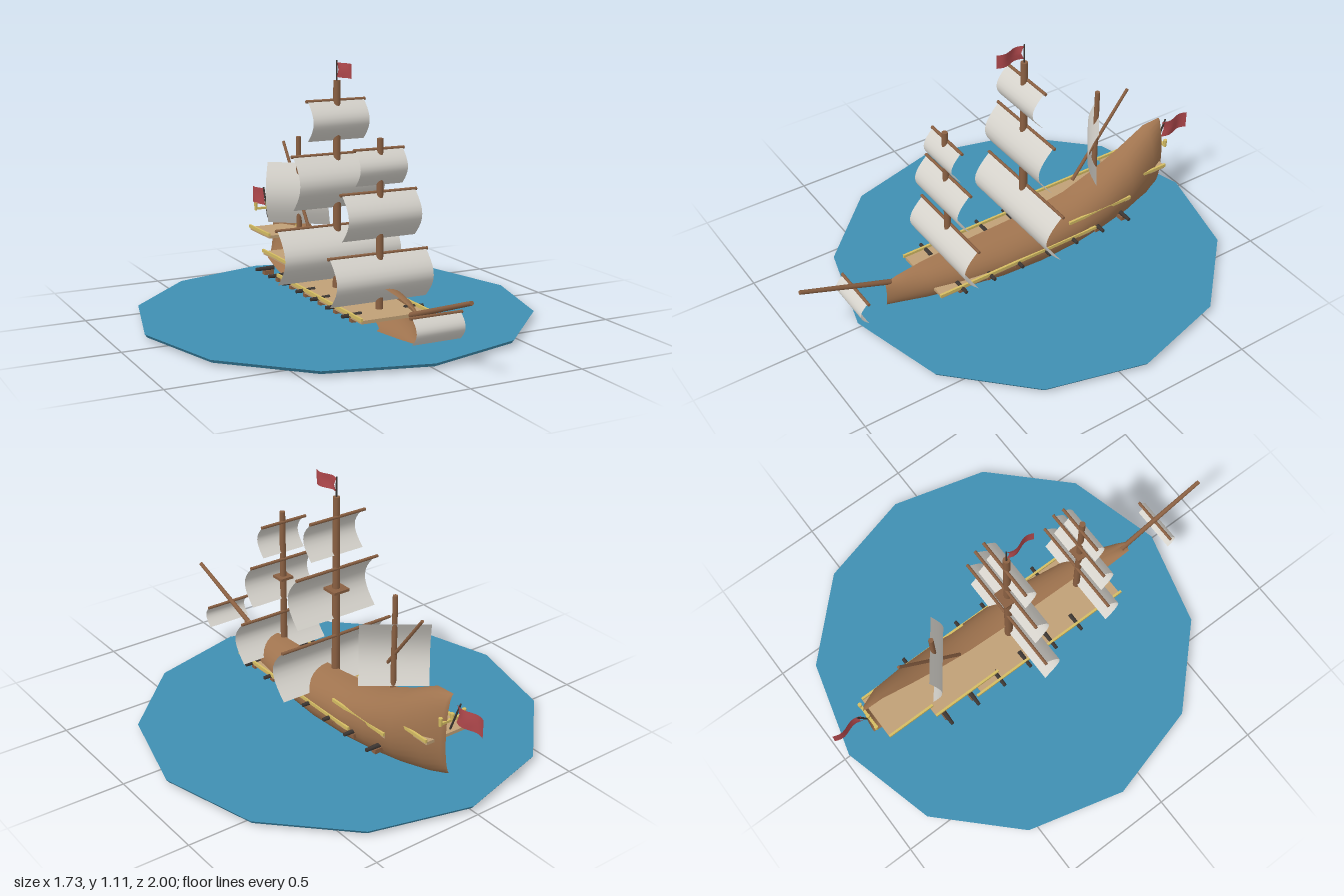
import * as THREE from 'three';

const mat = (name, color, double = false) => {
  const m = new THREE.MeshStandardMaterial({ color });
  m.name = name;
  if (double) m.side = THREE.DoubleSide;
  return m;
};

export function createModel() {
  const ship = new THREE.Group();
  ship.name = 'sailingShip';
  const M = {
    hull: mat('hullWood', 0xa0744f, true),
    spar: mat('sparWood', 0x8a6042),
    deck: mat('deckPlanks', 0xc0a076),
    gold: mat('gilding', 0xd4bc62),
    sail: mat('sailCloth', 0xd6d3cc, true),
    flag: mat('redCloth', 0xb0484c, true),
    iron: mat('darkIron', 0x3c3632),
    sea: mat('seaWater', 0x3f8fb2),
  };

  const add = (name, geo, material, x = 0, y = 0, z = 0, parent = ship) => {
    const mesh = new THREE.Mesh(geo, material);
    mesh.name = name;
    mesh.position.set(x, y, z);
    parent.add(mesh);
    return mesh;
  };
  const box = (name, m, w, h, d, x, y, z) => add(name, new THREE.BoxGeometry(w, h, d), m, x, y, z);

  // Tapered round spar between two points
  const spar = (name, m, a, b, r0, r1 = r0, sides = 10) => {
    const p = new THREE.Vector3(...a), q = new THREE.Vector3(...b);
    const dir = q.clone().sub(p);
    const mesh = add(name, new THREE.CylinderGeometry(r1, r0, dir.length(), sides), m);
    mesh.position.copy(p).add(q).multiplyScalar(0.5);
    mesh.quaternion.setFromUnitVectors(new THREE.Vector3(0, 1, 0), dir.normalize());
    return mesh;
  };

  // Twelve-sided slab of sea
  add('sea', new THREE.CylinderGeometry(0.865, 0.855, 0.014, 12), M.sea, 0, 0.018, -0.11);

  // Hull: half-oval sections, each [z, bottom, top, half width], open on the centre plane
  const stations = [
    [-0.83, 0.1, 0.46, 0.03], [-0.82, 0.095, 0.46, 0.05], [-0.74, 0.068, 0.455, 0.095],
    [-0.6, 0.037, 0.38, 0.126], [-0.45, 0.017, 0.315, 0.143], [-0.3, 0.006, 0.265, 0.152],
    [-0.1, 0, 0.24, 0.155], [0.1, 0.01, 0.233, 0.149], [0.3, 0.027, 0.225, 0.121],
    [0.45, 0.04, 0.212, 0.085], [0.56, 0.052, 0.195, 0.04], [0.615, 0.06, 0.175, 0.012],
  ];
  const arc = 16, pos = [], idx = [];
  stations.forEach(([z, lo, hi, w], i) => {
    for (let j = 0; j <= arc; j++) {
      const a = (j / arc) * Math.PI;
      pos.push(w * Math.sin(a), (lo + hi) / 2 - ((hi - lo) / 2) * Math.cos(a), z);
      if (i < stations.length - 1 && j < arc) {
        const p = i * (arc + 1) + j, q = p + arc + 1;
        idx.push(p, p + 1, q, p + 1, q + 1, q);
      }
    }
  });
  const hull = new THREE.BufferGeometry();
  hull.setAttribute('position', new THREE.Float32BufferAttribute(pos, 3));
  hull.setIndex(idx);
  hull.computeVertexNormals();
  add('hull', hull, M.hull);

  // Stepped decks with gilded edge rails: [name, half width, top, back z, front z, rail back z]
  for (const [name, w, y, z0, z1, r0] of [
    ['mainDeck', 0.15, 0.127, -0.35, 0.43, -0.375],
    ['quarterDeck', 0.13, 0.195, -0.58, -0.25, -0.58],
    ['poopDeck', 0.1, 0.265, -0.8, -0.58, -0.8],
  ]) {
    box(name, M.deck, 2 * w, 0.014, z1 - z0, 0, y - 0.007, (z0 + z1) / 2);
    for (const s of [-1, 1])
      box(name + 'Rail', M.gold, 0.01, 0.014, z1 + 0.008 - r0, s * (w + 0.003), y + 0.005, (z1 + 0.008 + r0) / 2);
  }

  // Guns on both sides with their carriages
  for (let i = 0; i < 7; i++) {
    const z = 0.33 - i * 0.1443;
    for (const s of [-1, 1]) {
      spar('cannon', M.iron, [s * 0.1, 0.125, z], [s * 0.188, 0.125, z], 0.011, 0.008, 8);
      box('gunCarriage', M.spar, 0.045, 0.02, 0.024, s * 0.127, 0.107, z);
    }
  }

  // Masts, mast tops and bowsprit
  spar('foreMast', M.spar, [0, 0.12, 0.3], [0, 0.83, 0.3], 0.016, 0.013);
  spar('mainMast', M.spar, [0, 0.12, -0.085], [0, 1.025, -0.085], 0.019, 0.015);
  spar('mizzenMast', M.spar, [0, 0.19, -0.47], [0, 0.735, -0.47], 0.013, 0.011);
  spar('bowsprit', M.spar, [0, 0.165, 0.56], [0, 0.322, 0.997], 0.012, 0.009);
  box('mainTop', M.spar, 0.08, 0.012, 0.076, 0, 0.612, -0.088);
  box('foreTop', M.spar, 0.064, 0.012, 0.062, 0, 0.52, 0.3);

  // Cloth that bellies forward between its top and bottom edges
  const sailGeometry = (halfWidth, height, belly) => {
    const g = new THREE.PlaneGeometry(2 * halfWidth, height, 2, 10);
    const p = g.attributes.position;
    for (let i = 0; i < p.count; i++)
      p.setZ(i, belly * Math.sin((p.getY(i) / height + 0.5) * Math.PI));
    g.computeVertexNormals();
    return g;
  };

  // Square sails: [name, yard z, yard y, yard half width, sail bottom, belly]
  for (const [name, z, y, w, low, belly] of [
    ['mainCourse', -0.095, 0.4, 0.285, 0.165, 0.078],
    ['mainTopsail', -0.095, 0.71, 0.21, 0.48, 0.07],
    ['mainTopgallant', -0.095, 0.94, 0.14, 0.77, 0.055],
    ['foreCourse', 0.29, 0.355, 0.23, 0.155, 0.065],
    ['foreTopsail', 0.29, 0.61, 0.175, 0.42, 0.06],
    ['foreTopgallant', 0.29, 0.785, 0.115, 0.64, 0.045],
    ['spritsail', 0.752, 0.215, 0.115, 0.11, 0.035],
  ]) {
    spar(name + 'Yard', M.spar, [-w, y, z], [w, y, z], 0.007, 0.007, 8);
    add(name, sailGeometry(w - 0.008, y - low, belly), M.sail, 0, (y + low) / 2, z + 0.003);
  }

  // Mizzen sail turned across the ship, with its slanted yard
  spar('mizzenYard', M.spar, [0, 0.31, -0.35], [0, 0.69, -0.635], 0.008, 0.007, 8);
  add('mizzenSail', sailGeometry(0.144, 0.28, 0.045), M.sail, 0.005, 0.473, -0.481).rotation.y = -0.645;

  // Rippled flags with a notched edge at the pole
  const flag = (name, y, z, length, height, dir) => {
    const g = new THREE.PlaneGeometry(length, height, 10, 4);
    const p = g.attributes.position;
    for (let i = 0; i < p.count; i++) {
      const t = p.getX(i) / length + 0.5;
      const v = Math.abs(p.getY(i)) / (height / 2);
      p.setX(i, t * length + 0.014 * (1 - t) * (1 - v));
      p.setZ(i, 0.01 * Math.sin(t * Math.PI * 2));
    }
    g.computeVertexNormals();
    add(name, g, M.flag, 0, y, z).rotation.y = -dir * Math.PI / 2;
  };
  spar('mainFlagPole', M.iron, [0, 1.02, -0.085], [0, 1.11, -0.085], 0.004, 0.003, 6);
  flag('mainFlag', 1.072, -0.083, 0.132, 0.062, 1);
  spar('sternFlagPole', M.iron, [0, 0.3, -0.82], [0, 0.435, -0.872], 0.005, 0.004, 6);
  flag('sternFlag', 0.385, -0.853, 0.147, 0.08, -1);

  // Gilded stern bar with lanterns
  box('sternBar', M.gold, 0.12, 0.01, 0.012, 0, 0.345, -0.826);
  for (const x of [-0.06, 0, 0.06])
    add('sternLantern', new THREE.CylinderGeometry(0.009, 0.007, 0.036, 8), M.gold, x, 0.355, -0.828);

  return ship;
}
